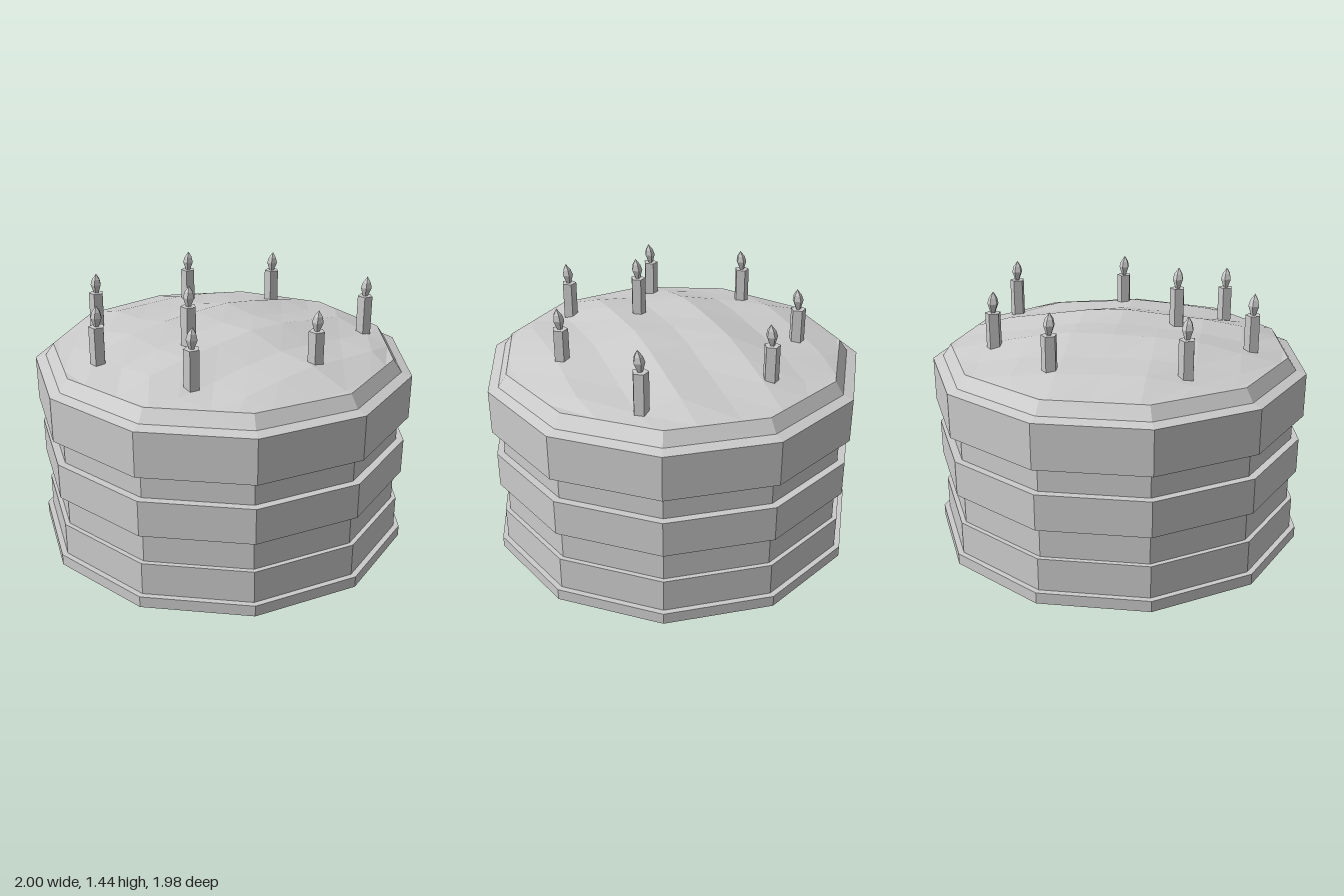
import * as THREE from 'three';

const SIDES = 11;
const CENTER_Z = 0.02;
const TOP_R = 0.91;
const TOP_Y = 1.04;
const material = new THREE.MeshStandardMaterial({ color: 0xcccccc, flatShading: true });

function mesh(name, geometry) {
  const m = new THREE.Mesh(geometry, material);
  m.name = name;
  return m;
}

function lathe(points, sides) {
  const profile = points.map(([r, y]) => new THREE.Vector2(r, y));
  return new THREE.LatheGeometry(profile, sides, Math.PI, Math.PI * 2);
}

// Distance from the centre to the edge of the top polygon in direction (x, z)
function edgeDistance(x, z) {
  const step = (Math.PI * 2) / SIDES;
  const a = Math.atan2(x, -z) + Math.PI * 2;
  return (TOP_R * Math.cos(step / 2)) / Math.cos((a % step) - step / 2);
}

// Domed icing: a turned grid with ripples, pulled in to the polygon's edge
function icingGeometry() {
  const g = new THREE.PlaneGeometry(2.2, 2.2, 10, 10);
  g.rotateX(-Math.PI / 2);
  const p = g.attributes.position;
  const turn = THREE.MathUtils.degToRad(16);
  for (let i = 0; i < p.count; i++) {
    const u = p.getX(i), v = p.getZ(i);
    let x = u * Math.cos(turn) + v * Math.sin(turn);
    let z = -u * Math.sin(turn) + v * Math.cos(turn);
    const t = Math.hypot(x, z) / edgeDistance(x, z);
    if (t > 1) {
      x /= t;
      z /= t;
    }
    const rise = Math.max(0, 1 - Math.pow(t, 1.6));
    const ripple = 0.013 * Math.cos(((v + 0.22) / 0.44) * Math.PI * 2) + 0.006 * Math.sin(u * 9 + v * 4);
    p.setXYZ(i, x, TOP_Y + 0.125 * rise + ripple * Math.min(1, rise * 2.5), z);
  }
  g.computeVertexNormals();
  return g;
}

// Five-sided candle with a pointed, slightly leaning flame
function candle(x, z, top) {
  const group = new THREE.Group();
  group.name = 'candle';
  const base = 1.03;
  group.add(mesh('candleStick', lathe([[0, base], [0.041, base], [0.041, top], [0, top]], 5)));
  const flame = lathe([[0, 0], [0.012, 0], [0.03, 0.05], [0.022, 0.08], [0, 0.112]], 5);
  const p = flame.attributes.position;
  for (let i = 0; i < p.count; i++) p.setZ(i, p.getZ(i) + p.getY(i) * 0.1);
  flame.translate(0, top - 0.003, 0);
  group.add(mesh('flame', flame));
  group.position.set(x, 0, z);
  return group;
}

export function createModel() {
  const model = new THREE.Group();
  model.name = 'cake';

  // Plate, stepped sponge layers and top rim in one profile
  const body = mesh('cakeLayers', lathe([
    [0, 0], [1.01, 0], [1.01, 0.06],
    [0.98, 0.06], [0.98, 0.235],
    [0.955, 0.235], [0.955, 0.4],
    [0.995, 0.4], [0.995, 0.59],
    [0.955, 0.59], [0.955, 0.725],
    [1.01, 0.725], [1.01, 0.96],
    [0.955, 0.975], [TOP_R, TOP_Y], [0, TOP_Y - 0.005],
  ], SIDES));
  body.position.z = CENTER_Z;
  model.add(body);

  const icing = mesh('icing', icingGeometry());
  icing.position.z = CENTER_Z;
  model.add(icing);

  // Candles: x, z and height of the stick's top
  const candles = [
    [-0.55, -0.43, 1.265], [0.08, -0.63, 1.265], [0.52, -0.41, 1.265], [-0.72, 0.09, 1.265],
    [-0.27, 0.19, 1.335], [0.745, 0.24, 1.265], [-0.42, 0.57, 1.265], [0.225, 0.61, 1.265],
  ];
  for (const [x, z, top] of candles) model.add(candle(x, z, top));

  return model;
}
